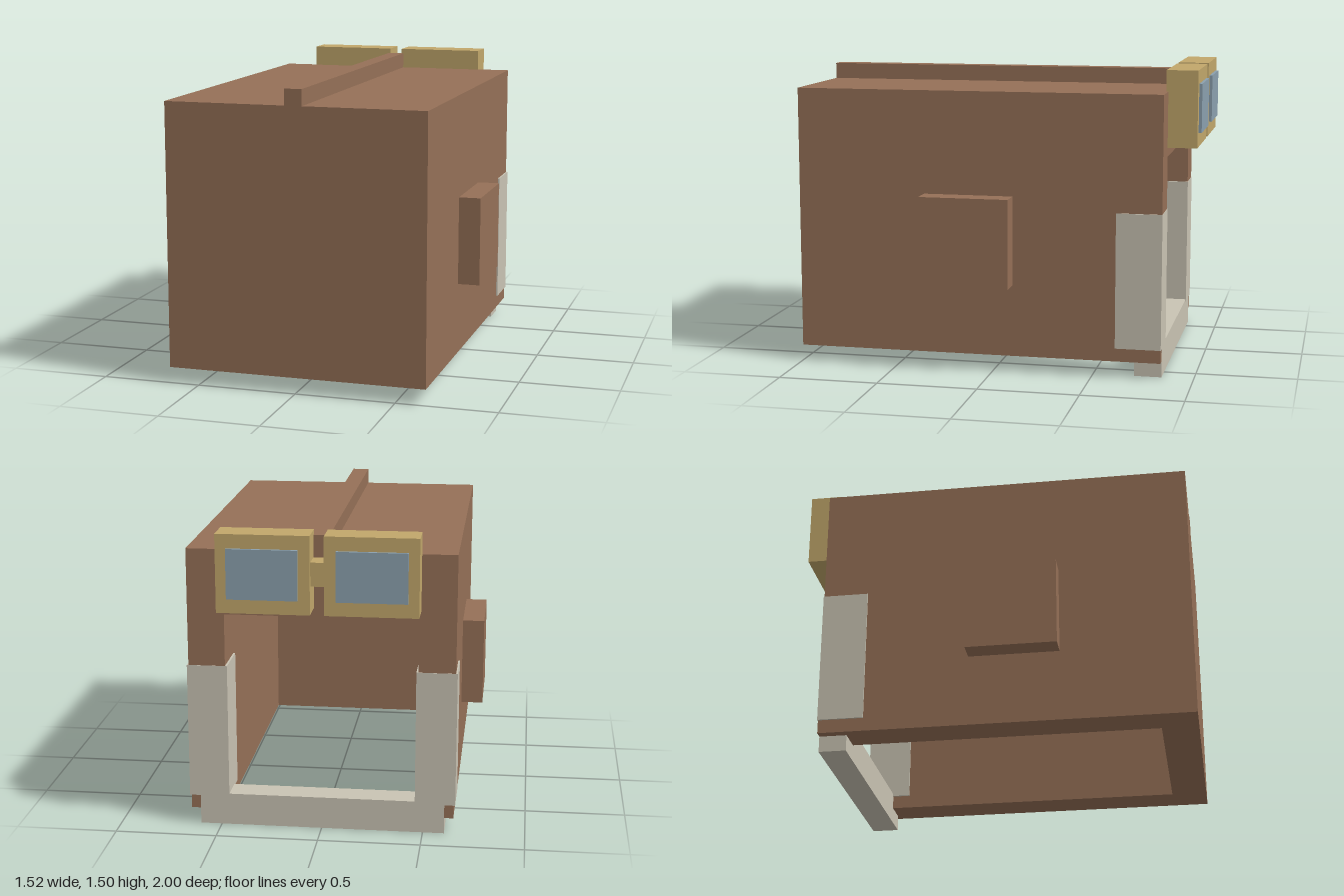
import * as THREE from 'three';

const mat = (name, color) => {
  const m = new THREE.MeshStandardMaterial({ color });
  m.name = name;
  return m;
};

export function createModel() {
  const model = new THREE.Group();
  model.name = 'boxHead';
  const brown = mat('brown', 0x957057);
  const cream = mat('cream', 0xc9c3b3);
  const gold = mat('gold', 0xc1a76b);
  const blue = mat('lensBlue', 0x8ba0ae);

  // Box given by its extents on each axis
  const box = (name, material, [x0, x1], [y0, y1], [z0, z1]) => {
    const mesh = new THREE.Mesh(new THREE.BoxGeometry(x1 - x0, y1 - y0, z1 - z0), material);
    mesh.position.set((x0 + x1) / 2, (y0 + y1) / 2, (z0 + z1) / 2);
    mesh.name = name;
    model.add(mesh);
  };

  // Mirrored pair: the x extents are those of the +x side
  const pair = (name, material, [x0, x1], y, z) => {
    box(name + 'Left', material, [x0, x1], y, z);
    box(name + 'Right', material, [-x1, -x0], y, z);
  };

  // Hollow shell: side walls and roof as one upside-down U, open below
  const u = [[-0.65, 0.08], [-0.47, 0.08], [-0.47, 1.22], [0.47, 1.22],
    [0.47, 0.08], [0.65, 0.08], [0.65, 1.4], [-0.65, 1.4]];
  const profile = new THREE.Shape(u.map(([x, y]) => new THREE.Vector2(x, y)));
  const shell = new THREE.Mesh(
    new THREE.ExtrudeGeometry(profile, { depth: 1.66, bevelEnabled: false }), brown);
  shell.position.z = -0.84;
  shell.name = 'wallsAndRoof';
  model.add(shell);

  // Closed front, and the beam above the rear opening
  box('frontWall', brown, [-0.65, 0.65], [0.08, 1.4], [0.82, 1]);
  box('rearLintel', brown, [-0.47, 0.47], [1.08, 1.22], [-0.84, -0.66]);

  // Roof ridge and side blocks
  box('roofRidge', brown, [-0.043, 0.043], [1.4, 1.48], [-0.84, 1]);
  pair('sideBlock', brown, [0.65, 0.76], [0.44, 0.885], [-0.1, 0.35]);

  // Cream sleeves on the rear posts and the bar across the bottom
  pair('postSleeve', cream, [0.46, 0.658], [0.147, 0.82], [-0.842, -0.615]);
  box('bottomBar', cream, [-0.605, 0.605], [0, 0.16], [-0.841, -0.705]);

  // Square spectacles on the rear top edge
  pair('spectacleFrame', gold, [0.033, 0.48], [1.125, 1.505], [-0.985, -0.83]);
  pair('lens', blue, [0.09, 0.428], [1.195, 1.437], [-1, -0.97]);
  box('spectacleBridge', gold, [-0.035, 0.035], [1.26, 1.375], [-0.965, -0.855]);

  return model;
}
